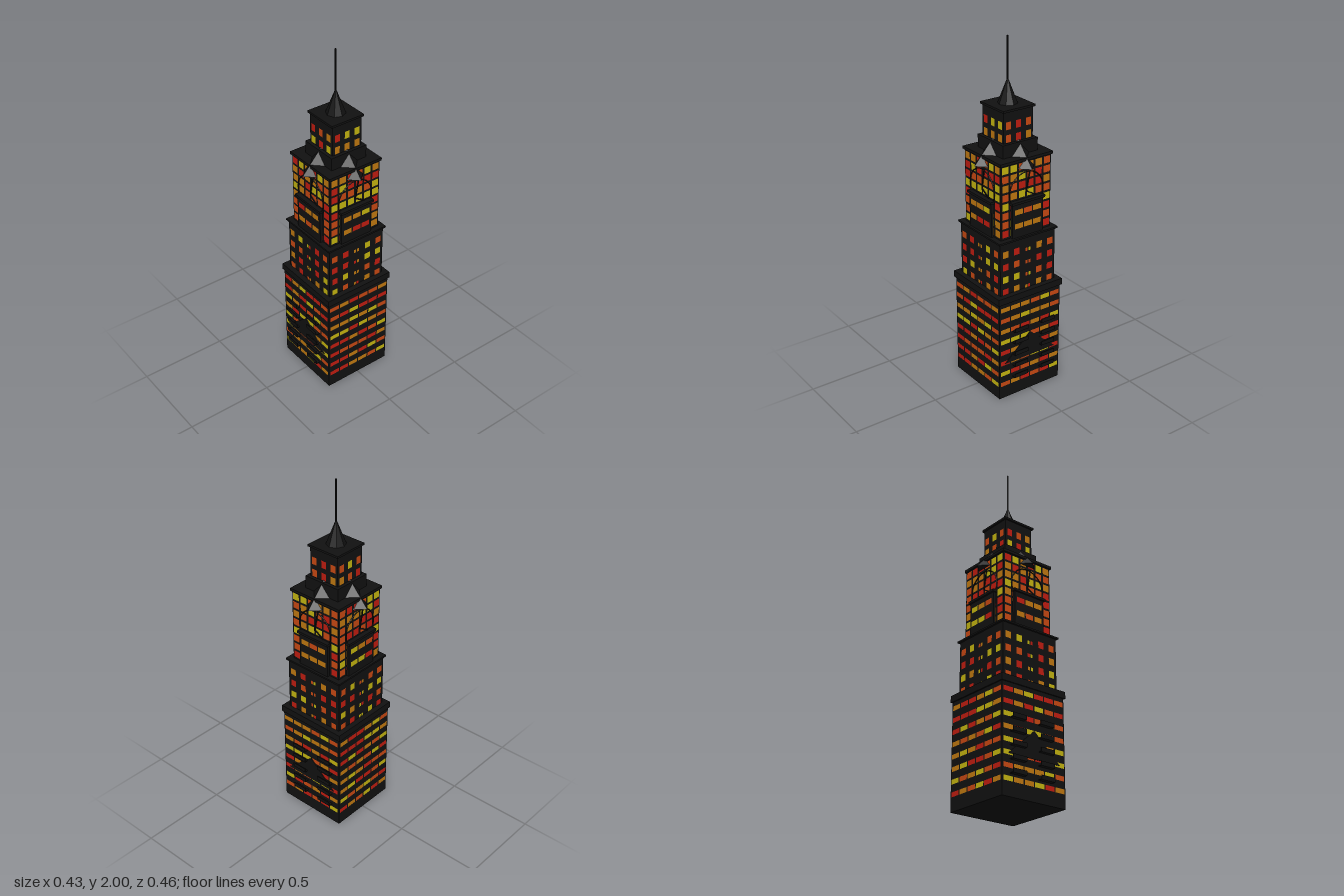
import * as THREE from 'three';
import { mergeGeometries } from 'three/addons/utils/BufferGeometryUtils.js';

const dark = new THREE.MeshStandardMaterial({ color: 0x111111, flatShading: true });
const lit = [0xc4b410, 0xc07810, 0xc84812, 0xc01c10].map(
  (color) => new THREE.MeshStandardMaterial({ color }));

// small seeded generator for the window colours
let seed = 11;
const rand = () => (seed = (seed * 16807) % 2147483647) / 2147483647;

function add(parent, name, geometry, x = 0, y = 0, z = 0) {
  const mesh = new THREE.Mesh(geometry, dark);
  mesh.name = name;
  mesh.position.set(x, y, z);
  parent.add(mesh);
  return mesh;
}

// square block from y0 to y1 with the given half width
function block(parent, name, half, y0, y1) {
  return add(parent, name, new THREE.BoxGeometry(half * 2, y1 - y0, half * 2), 0, (y0 + y1) / 2);
}

// a grid of lit panes on all four faces, merged by colour
function windows(parent, name, xs, ys, w, h, depth) {
  const panes = lit.map(() => []);
  for (let side = 0; side < 4; side++) {
    for (const y of ys) for (const x of xs) {
      const pane = new THREE.PlaneGeometry(w, h);
      pane.translate(x, y, depth + 0.002);
      pane.rotateY(side * Math.PI / 2);
      panes[Math.floor(rand() * lit.length)].push(pane);
    }
  }
  const group = new THREE.Group();
  group.name = name;
  panes.forEach((list, i) => {
    if (!list.length) return;
    const mesh = new THREE.Mesh(mergeGeometries(list), lit[i]);
    mesh.name = name + 'Panes';
    group.add(mesh);
  });
  parent.add(group);
}

// n evenly spaced values centred on mid
const spread = (n, step, mid = 0) =>
  Array.from({ length: n }, (_, i) => mid + (i - (n - 1) / 2) * step);

// clock hand from the dial centre to a tip
function hand(parent, name, dx, dy, z) {
  const bar = new THREE.BoxGeometry(0.007, Math.hypot(dx, dy), 0.004);
  add(parent, name, bar, dx / 2, 1.2 + dy / 2, z).rotation.z = -Math.atan2(dx, dy);
}

export function createModel() {
  const tower = new THREE.Group();
  tower.name = 'clockTower';

  // stacked body
  block(tower, 'base', 0.207, 0, 0.6);
  block(tower, 'baseLedge', 0.215, 0.597, 0.635);
  block(tower, 'middleTier', 0.183, 0.63, 0.945);
  block(tower, 'middleLedge', 0.194, 0.942, 0.952);
  block(tower, 'upperTier', 0.163, 0.95, 1.375);
  block(tower, 'roofSlab', 0.171, 1.372, 1.388);
  block(tower, 'crownStep', 0.113, 1.385, 1.46);
  block(tower, 'crown', 0.094, 1.45, 1.635);
  block(tower, 'crownLedge', 0.103, 1.63, 1.642);

  // four-sided roof whose corners jut from the middle of each face
  add(tower, 'gableRoof', new THREE.ConeGeometry(0.215, 0.24, 4), 0, 1.455, 0);
  add(tower, 'spire', new THREE.ConeGeometry(0.054, 0.14, 8), 0, 1.712, 0);
  add(tower, 'needle', new THREE.CylinderGeometry(0.005, 0.005, 0.26, 8), 0, 1.87, 0);

  // lit windows
  windows(tower, 'baseWindows', spread(6, 0.0675), spread(8, 0.067, 0.325), 0.06, 0.026, 0.207);
  const rows = spread(4, 0.0745, 0.763);
  windows(tower, 'middleWindows', [-0.148, -0.075, 0.075, 0.148], rows, 0.036, 0.038, 0.183);
  windows(tower, 'middleSlitWindows', [-0.01, 0.01], rows.map((y) => y - 0.006), 0.014, 0.02, 0.183);
  windows(tower, 'upperWindows', spread(6, 0.054), spread(8, 0.0515, 1.165), 0.041, 0.039, 0.163);
  windows(tower, 'bayWindows', [-0.06, 0, 0.06], [1.02, 1.1], 0.052, 0.03, 0.18);
  windows(tower, 'crownWindows', [-0.064, 0, 0.064], [1.485, 1.555], 0.032, 0.042, 0.094);

  // bay and clock on each face
  for (let side = 0; side < 4; side++) {
    const face = new THREE.Group();
    face.name = 'clockFace';
    face.rotation.y = side * Math.PI / 2;
    add(face, 'bay', new THREE.BoxGeometry(0.2, 0.2, 0.04), 0, 1.05, 0.16);
    add(face, 'bayLedge', new THREE.BoxGeometry(0.216, 0.014, 0.05), 0, 1.153, 0.165);
    add(face, 'clockRing', new THREE.TorusGeometry(0.11, 0.003, 6, 32), 0, 1.2, 0.167);
    hand(face, 'minuteHand', 0.022, 0.115, 0.168);
    hand(face, 'hourHand', 0.06, -0.035, 0.168);
    tower.add(face);
  }

  // pediment and balconies on the front and back of the base
  const triangle = new THREE.Shape([
    new THREE.Vector2(-0.17, 0.22), new THREE.Vector2(0.17, 0.22), new THREE.Vector2(0, 0.37)]);
  for (const s of [1, -1]) {
    const pediment = new THREE.ExtrudeGeometry(triangle, { depth: 0.006, bevelEnabled: false });
    add(tower, 'pediment', pediment, 0, 0, s * 0.209 - 0.003);
    for (const x of [-0.11, 0.073]) {
      for (const y of spread(5, 0.0725, 0.265)) {
        add(tower, 'balconyFloor', new THREE.BoxGeometry(0.09, 0.004, 0.027), x, y, s * 0.2185);
        add(tower, 'balconyRail', new THREE.BoxGeometry(0.09, 0.022, 0.003), x, y + 0.011, s * 0.2305);
      }
    }
  }
  return tower;
}
